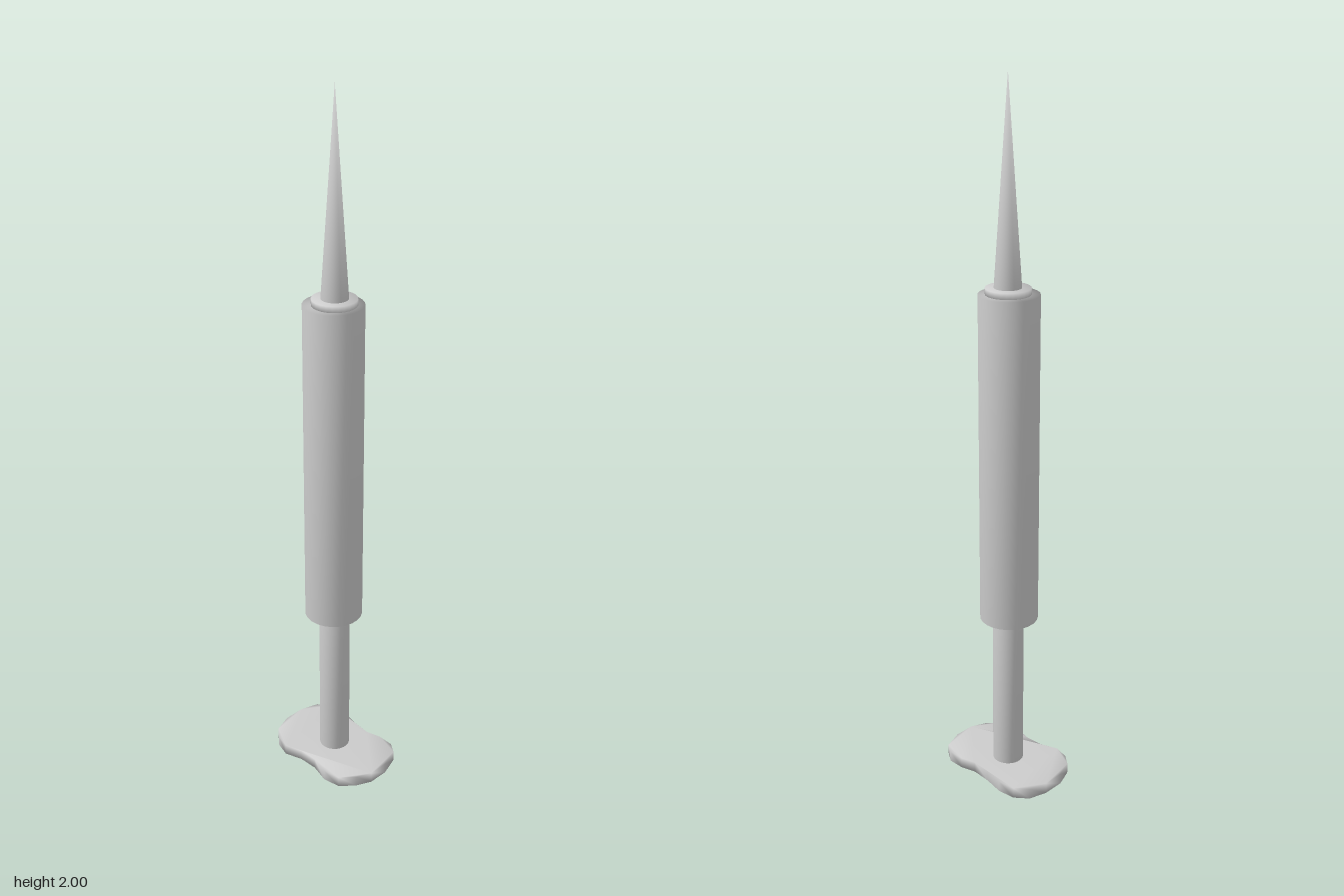
import * as THREE from 'three';
import { mergeVertices } from 'three/addons/utils/BufferGeometryUtils.js';

const material = new THREE.MeshStandardMaterial({ color: 0xcccccc });

// Share vertices across all edges so the shading runs smoothly over them
function smooth(geometry) {
  geometry.deleteAttribute('uv');
  geometry.deleteAttribute('normal');
  const merged = mergeVertices(geometry, 1e-5);
  merged.computeVertexNormals();
  return merged;
}

export function createModel() {
  const group = new THREE.Group();

  const add = (name, geometry) => {
    const mesh = new THREE.Mesh(smooth(geometry), material);
    mesh.name = name;
    group.add(mesh);
    return mesh;
  };

  // Upright round part between two heights
  const column = (name, rTop, rBottom, y0, y1, x) => {
    const mesh = add(name, new THREE.CylinderGeometry(rTop, rBottom, y1 - y0, 24));
    mesh.position.set(x, (y0 + y1) / 2, -0.003);
  };

  // Thumb plate: irregular rounded outline as [x, z]
  const outline = [
    [-0.184, 0], [-0.174, -0.061], [-0.149, -0.11], [-0.108, -0.132], [-0.056, -0.128],
    [0, -0.105], [0.056, -0.09], [0.101, -0.094], [0.147, -0.085], [0.173, -0.06],
    [0.183, 0], [0.173, 0.058], [0.147, 0.097], [0.106, 0.13], [0.054, 0.13],
    [0, 0.105], [-0.056, 0.097], [-0.108, 0.105], [-0.149, 0.085], [-0.174, 0.056],
  ];
  const shape = new THREE.Shape(outline.map(([x, z]) => new THREE.Vector2(x, -z)));
  const plate = new THREE.ExtrudeGeometry(shape, { depth: 0.032, bevelEnabled: false });
  plate.rotateX(-Math.PI / 2);
  add('thumbPlate', plate);

  // Plunger, barrel, collar and needle stacked on the plate
  column('plungerRod', 0.044, 0.044, 0.03, 0.51, -0.004);
  column('barrel', 0.082, 0.082, 0.5, 1.44, -0.007);
  column('collar', 0.061, 0.061, 1.435, 1.457, -0.004);
  column('needle', 0, 0.037, 1.455, 2, -0.003);

  return group;
}
